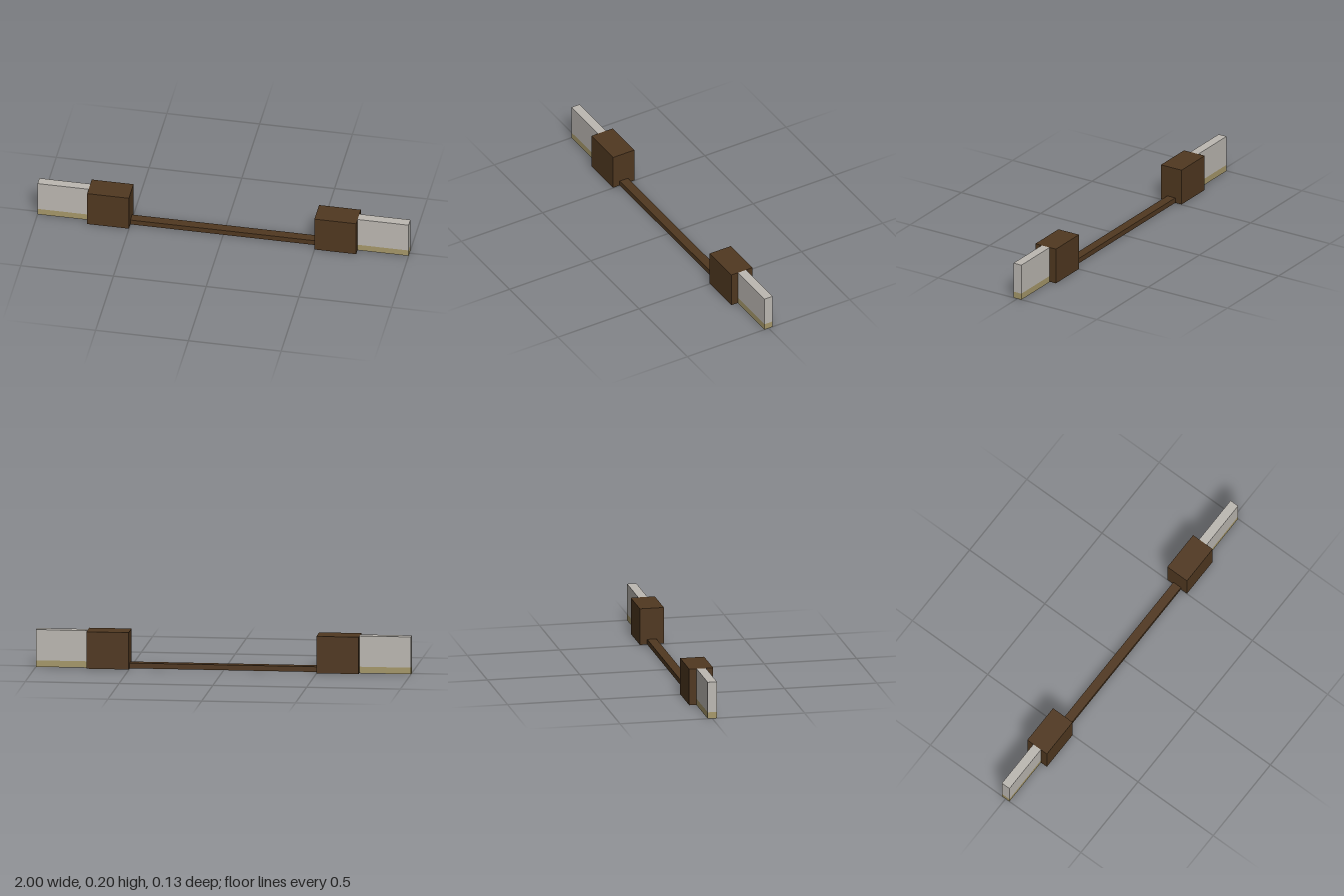
import * as THREE from 'three';

export function createModel() {
  const model = new THREE.Group();
  const brown = new THREE.MeshStandardMaterial({ color: 0x503820 });
  brown.name = 'dark wood';
  const grey = new THREE.MeshStandardMaterial({ color: 0xbcb8b2 });
  grey.name = 'pale grey';
  const gold = new THREE.MeshStandardMaterial({ color: 0xa6986a });
  gold.name = 'dull gold';

  // Box given by its extents along x and y, centred on z
  function box(name, material, x0, x1, y0, y1, depth) {
    const mesh = new THREE.Mesh(new THREE.BoxGeometry(x1 - x0, y1 - y0, depth), material);
    mesh.position.set((x0 + x1) / 2, (y0 + y1) / 2, 0);
    mesh.name = name;
    return mesh;
  }

  // Thin rail joining the two blocks
  model.add(box('rail', brown, -0.52, 0.52, 0.002, 0.03, 0.05));

  // Block, end panel and base strip on each side
  for (const [side, s] of [['left', 1], ['right', -1]]) {
    const end = new THREE.Group();
    end.name = side + 'End';
    const span = (a, b) => (s > 0 ? [a, b] : [-b, -a]);
    end.add(box('block', brown, ...span(0.5, 0.725), 0.002, 0.2, 0.13));
    end.add(box('endPanel', grey, ...span(0.725, 1), 0.035, 0.2, 0.05));
    end.add(box('baseStrip', gold, ...span(0.54, 1), 0, 0.035, 0.05));
    model.add(end);
  }
  return model;
}
